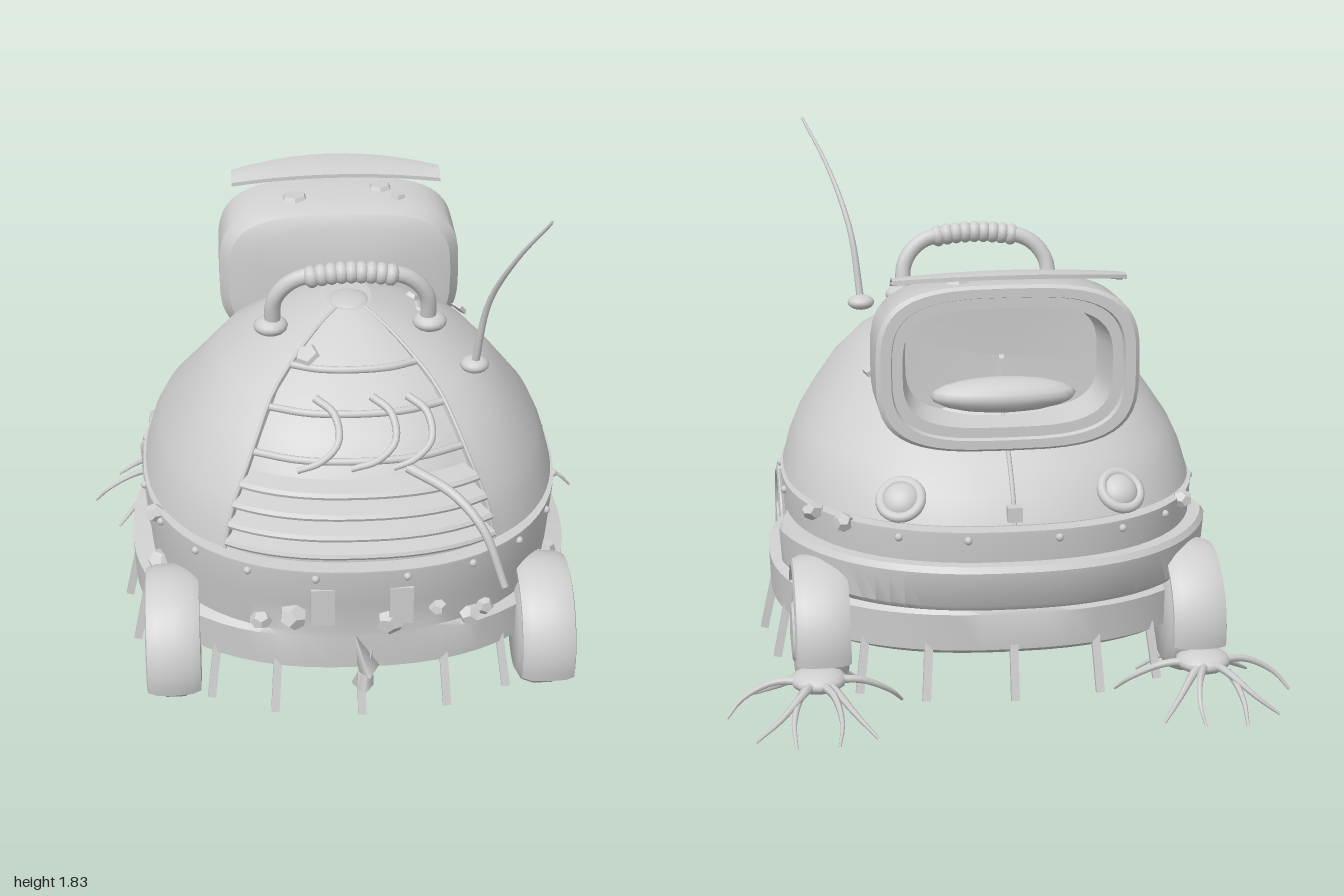
import * as THREE from 'three';
import { toCreasedNormals } from 'three/addons/utils/BufferGeometryUtils.js';

const grey = new THREE.MeshStandardMaterial({ color: 0xcfcfcf, side: THREE.DoubleSide });
grey.name = 'grey';

const V = (x, y, z) => new THREE.Vector3(x, y, z);
const D = Math.PI / 180;

// Cross-sections: [height, half width, front z, back z]
const DOME = [
  [0.66, 0.73, 0.86, -0.74], [0.75, 0.705, 0.85, -0.7], [0.83, 0.67, 0.82, -0.63],
  [0.92, 0.61, 0.78, -0.52], [1.02, 0.54, 0.7, -0.4], [1.12, 0.45, 0.58, -0.31],
  [1.2, 0.32, 0.45, -0.2], [1.27, 0.17, 0.32, -0.08], [1.3, 0.08, 0.25, 0.0],
];
const HULL = [
  [0.2, 0.01, 0.06, 0.04], [0.2, 0.75, 0.8, -0.71], [0.22, 0.785, 0.83, -0.74], [0.35, 0.79, 0.84, -0.75],
  [0.37, 0.72, 0.84, -0.74], [0.5, 0.73, 0.87, -0.76], [0.64, 0.74, 0.9, -0.775],
  [0.648, 0.74, 0.9, -0.775], [0.65, 0.71, 0.84, -0.72], [0.66, 0.71, 0.84, -0.72],
];
const pw = (s, e) => Math.sign(s) * Math.abs(s) ** e;

// Point on a rounded oval section; angle 0 faces the front, +90 degrees the left side
function onRow([y, rx, zf, zb], a, off = 0) {
  const c = (zf + zb) / 2;
  const p = V(rx * pw(Math.sin(a), 0.85), 0, ((zf - zb) / 2) * pw(Math.cos(a), 0.85));
  p.addScaledVector(p.clone().normalize(), off);
  return p.add(V(0, y, c));
}
function onBody(rows, y, a, off) {
  let i = 1;
  while (i < rows.length - 1 && rows[i][0] < y) i++;
  const p = rows[i - 1], q = rows[i];
  const t = THREE.MathUtils.clamp((y - p[0]) / (q[0] - p[0] || 1), 0, 1);
  return onRow(p.map((v, k) => v + (q[k] - v) * t), a, off);
}

// Surface through a grid of points fn(column, row)
function grid(fn, nu, nv) {
  const pos = [], idx = [];
  for (let j = 0; j <= nv; j++) for (let i = 0; i <= nu; i++) {
    pos.push(...fn(i, j).toArray());
    if (i < nu && j < nv) {
      const a = j * (nu + 1) + i, b = a + nu + 1;
      idx.push(a, a + 1, b, a + 1, b + 1, b);
    }
  }
  const g = new THREE.BufferGeometry();
  g.setAttribute('position', new THREE.Float32BufferAttribute(pos, 3));
  g.setIndex(idx);
  return toCreasedNormals(g, 0.6);
}
// Tapered tube along a smooth path
function tube(pts, r0, r1 = r0, n = 16, sides = 8) {
  const curve = new THREE.CatmullRomCurve3(pts);
  const g = new THREE.TubeGeometry(curve, n, 1, sides);
  const p = g.attributes.position, v = V(0, 0, 0);
  for (let i = 0; i < p.count; i++) {
    const t = Math.floor(i / (sides + 1)) / n, c = curve.getPointAt(t);
    v.fromBufferAttribute(p, i).sub(c).multiplyScalar(r0 + (r1 - r0) * t).add(c);
    p.setXYZ(i, v.x, v.y, v.z);
  }
  return g;
}

export function createModel() {
  const model = new THREE.Group();
  model.name = 'shellVehicle';
  const add = (name, geo, pos, parent = model) => {
    const m = new THREE.Mesh(geo, grey);
    m.name = name;
    if (pos) m.position.copy(pos);
    parent.add(m);
    return m;
  };
  const W = 35 * D, N = 64, last = DOME.length - 1;

  // Lower hull, dome, recessed front panel
  add('hull', grid((i, j) => onRow(HULL[j], (i / N) * 2 * Math.PI), N, HULL.length - 1));
  add('dome', grid((i, j) => onRow(DOME[j], W + (i / N) * (2 * Math.PI - 2 * W)), N, last));
  add('frontPanel', grid((i, j) => onRow(DOME[j], -W + (i / 16) * 2 * W, j > 6 ? 0 : -0.03), 16, last));
  for (const s of [-1, 1]) {
    add('panelEdge', grid((i, j) => onRow(DOME[j], s * W, i ? 0 : -0.04), 1, last));
    add('panelTrim', tube(DOME.map((r) => onRow(r, s * W)), 0.006));
  }
  add('domeCap', grid((i, j) => j ? V(0, 1.302, 0.125) : onRow(DOME[last], (i / N) * 2 * Math.PI), N, 1));
  add('topHatch', new THREE.SphereGeometry(1, 20, 10), V(0, 1.295, 0.16)).scale.set(0.07, 0.02, 0.085);
  add('backSeam', tube(DOME.map((r) => onRow(r, Math.PI)), 0.008, 0.008, 24, 6));

  // Louvres and bars on the front panel
  for (const y of [0.69, 0.755, 0.82, 0.885]) {
    const sect = [[0, -0.04], [-0.005, 0.025], [0.005, 0.033], [0.017, 0.03], [0.035, -0.04]];
    add('louvre', grid((i, j) => onBody(DOME, y + sect[j][0], W * 0.97 * (i / 8 - 1), sect[j][1]), 16, 4));
  }
  for (const y of [0.97, 1.085, 1.18]) {
    const pts = [-1, -0.5, 0, 0.5, 1].map((t) => onBody(DOME, y, t * W, -0.015));
    add('panelBar', tube(pts, 0.013));
  }

  // Vines hanging over the panel
  for (const [x, k] of [[-0.1, 1], [0.09, 1.1], [0.21, 0.9]]) {
    add('vine', tube([V(x - 0.04, 1.13, 0.57), V(x + 0.02, 1.1, 0.63), V(x + 0.03, 1.03, 0.7),
      V(x - 0.03, 0.98, 0.74), V(x - 0.11 * k, 0.95, 0.74)], 0.014, 0.011));
  }
  add('longVine', tube([V(0.16, 0.95, 0.74), V(0.3, 0.91, 0.86), V(0.39, 0.82, 0.94), V(0.46, 0.63, 0.99)], 0.018, 0.013));

  // Carrying handle with wrapped grip
  const arc = [V(-0.27, 1.24, 0.24), V(-0.26, 1.36, 0.265), V(-0.19, 1.435, 0.28), V(0, 1.46, 0.29),
    V(0.19, 1.435, 0.28), V(0.26, 1.36, 0.265), V(0.27, 1.24, 0.24)];
  add('handle', tube(arc, 0.028, 0.028, 32, 12));
  for (let i = -4; i <= 4; i++) {
    const x = i * 0.034;
    const wrap = add('gripWrap', new THREE.SphereGeometry(0.039, 14, 10), V(x, 1.461 - 0.7 * x * x, 0.29));
    wrap.scale.x = 0.75;
    wrap.rotation.z = -1.4 * x;
  }
  const knob = (name, p, r, h) => add(name, new THREE.SphereGeometry(1, 16, 10), p).scale.set(r, h, r);
  for (const s of [-1, 1]) knob('handleFoot', V(s * 0.275, 1.245, 0.24), 0.06, 0.033);

  // Antenna
  knob('antennaBase', V(0.41, 1.175, 0.44), 0.05, 0.028);
  add('antenna', tube([V(0.41, 1.18, 0.45), V(0.44, 1.43, 0.51), V(0.51, 1.65, 0.64), V(0.6, 1.83, 0.76)], 0.014, 0.005));

  // Rear window pod: outer shell, rim and recess in one loft [z, half width, half height]
  const POD = [[-0.29, 0.01, 0.01], [-0.295, 0.33, 0.2], [-0.32, 0.41, 0.25], [-0.37, 0.445, 0.275], [-0.59, 0.445, 0.285],
    [-0.605, 0.43, 0.275], [-0.605, 0.395, 0.245], [-0.585, 0.39, 0.24], [-0.585, 0.355, 0.205], [-0.42, 0.33, 0.19], [-0.41, 0.01, 0.01]];
  add('windowPod', grid((i, j) => {
    const a = (i / 48) * 2 * Math.PI, [z, w, h] = POD[j];
    return V(w * pw(Math.cos(a), 0.6), 1.16 + h * pw(Math.sin(a), 0.6), z);
  }, 48, POD.length - 1));
  add('podCushion', new THREE.SphereGeometry(1, 20, 10), V(0, 1.04, -0.47)).scale.set(0.25, 0.06, 0.09);
  const visor = [[0, 0], [0.5, 0.01], [1, 0], [1, 0.014], [0.5, 0.026], [0, 0.014], [0, 0]];
  add('visor', grid((i, j) => {
    const t = i / 8 - 1, [d, h] = visor[j];
    return V(t * 0.39, 1.465 + 0.02 * d - 0.025 * t * t + h, -0.54 - d * (0.16 - 0.08 * t * t));
  }, 16, 6));

  // Rear lamps, latch and wraparound bumper
  for (const s of [-1, 1]) {
    const lamp = new THREE.Group();
    lamp.name = 'rearLamp';
    lamp.position.set(s * 0.37, 0.735, -0.655);
    lamp.lookAt(s * 0.55, 1.335, -1.255);
    model.add(lamp);
    add('lampRing', new THREE.TorusGeometry(0.068, 0.018, 10, 24), V(0, 0, 0.01), lamp);
    add('lampLens', new THREE.SphereGeometry(0.065, 20, 12), null, lamp).scale.z = 0.7;
  }
  add('latch', new THREE.BoxGeometry(0.05, 0.05, 0.04), V(0, 0.7, -0.74));
  const BUMP = [[0.38, 0], [0.38, 0.045], [0.4, 0.06], [0.52, 0.06], [0.54, 0.045], [0.54, 0]];
  add('rearBumper', grid((i, j) => {
    const [y, off] = BUMP[j], end = Math.min(1, i * 0.5, (40 - i) * 0.5);
    return onBody(HULL, y, (98 + (i / 40) * 164) * D, off * end);
  }, 40, 5));

  // Rivets, leg pegs and door seams around the hull
  for (let k = 0; k < 20; k++) {
    const a = k * 18 * D;
    add('rivet', new THREE.SphereGeometry(0.014, 8, 6), onBody(HULL, 0.62, a + 0.15, 0.003));
    const mid = onBody(HULL, 0.21, a, 0.025).setY(0.145);
    const peg = add('legPeg', new THREE.BoxGeometry(0.028, 0.2, 0.022), mid);
    const out = V(Math.sin(a) * 0.22, -1, Math.cos(a) * 0.22).normalize();
    peg.quaternion.setFromUnitVectors(V(0, -1, 0), out);
  }
  for (const s of [-1, 1]) for (const deg of [88, 92]) {
    add('doorSeam', tube([0.38, 0.5, 0.63].map((y) => onBody(HULL, y, s * deg * D)), 0.007, 0.007, 4, 6));
  }
  for (const x of [-0.135, 0.13]) add('frontPlate', new THREE.BoxGeometry(0.08, 0.14, 0.03), V(x, 0.5, 0.87));

  // Shards on the front and under the sides
  for (const [x, y, z, r] of [[0, 0.29, 0.85, 0.3], [0.02, 0.22, 0.84, -0.2], [0.66, 0.17, 0.23, 0], [-0.66, 0.17, 0.23, 0],
    [0.66, 0.17, -0.12, 0], [-0.66, 0.17, -0.12, 0]]) {
    add('shard', new THREE.ConeGeometry(0.045, 0.16, 3), V(x, y, z)).rotation.z = r;
  }

  // Wheels and mudguards
  const tyre = [[0, -0.09], [0.15, -0.09], [0.185, -0.07], [0.2, -0.03], [0.2, 0.03], [0.188, 0.065], [0.165, 0.085],
    [0.13, 0.092], [0.105, 0.088], [0.095, 0.098], [0, 0.104]].map(([r, h]) => new THREE.Vector2(r, h));
  const guard = [[0.225, -0.09], [0.24, -0.09], [0.255, -0.06], [0.26, 0], [0.257, 0.06], [0.245, 0.09], [0.225, 0.095], [0.225, -0.09]];
  for (const s of [-1, 1]) for (const z of [0.64, -0.51]) {
    const wheel = add('wheel', toCreasedNormals(new THREE.LatheGeometry(tyre, 36), 0.6), V(s * 0.64, 0.235, z));
    wheel.rotation.z = -s * Math.PI / 2;
    const from = z > 0 ? -15 : 15, to = z > 0 ? 165 : 190;
    add('mudguard', grid((i, j) => {
      const a = (from + (i / 24) * (to - from)) * D, [r, w] = guard[j];
      return V(s * (0.64 + w), 0.24 + r * Math.sin(a), z + r * Math.cos(a));
    }, 24, 7));
  }

  // Root clusters behind the rear wheels
  for (const s of [-1, 1]) {
    knob('rootBase', V(s * 0.66, 0.135, -0.71), 0.095, 0.04);
    const tips = [[0.87, -0.5], [0.97, -0.71], [0.88, -0.92], [0.75, -1.0], [0.61, -0.99], [0.48, -0.94], [0.37, -0.62], [0.48, -0.45]];
    tips.forEach(([x, z], k) => {
      const at = (t, y, w) => V(s * (0.66 + (x - 0.66) * t + w), y, -0.74 + (z + 0.74) * t + w);
      const w = k % 2 ? 0.025 : -0.025;
      add('root', tube([at(0.1, 0.14, 0), at(0.4, 0.13, w), at(0.75, 0.07, w), at(1, 0.01, 0)], 0.017, 0.005, 12, 6));
    });
  }

  // Pebbles on the hull and mudguards: [angle, height, size]
  [[-24, 0.41, 0.04], [-15, 0.45, 0.05], [5, 0.42, 0.05], [17, 0.46, 0.035], [27, 0.39, 0.04], [32, 0.4, 0.035],
    [60, 0.42, 0.05], [-66, 0.42, 0.05], [70, 0.38, 0.04], [-70, 0.38, 0.03], [122, 0.64, 0.04], [135, 0.64, 0.035],
    [-125, 0.64, 0.035], [-66, 0.64, 0.035]].forEach(([a, y, r], k) => {
    const p = add('pebble', new THREE.DodecahedronGeometry(r), onBody(HULL, y, a * D, 0.01));
    p.rotation.set(k, k * 2, 0);
    p.scale.y = 0.8;
  });

  // Loose flakes on the dome and pod: [x, y, z, size]
  [[-0.2, 1.175, -0.2, 0.065], [0.16, 1.2, -0.15, 0.06], [0.43, 1.08, -0.2, 0.035], [0.28, 1.215, 0.1, 0.06],
    [-0.16, 1.22, 0.42, 0.045], [0.16, 1.445, -0.5, 0.045], [0.22, 1.44, -0.42, 0.03], [-0.16, 1.44, -0.43, 0.05],
    [0.24, 1.24, 0.02, 0.03]].forEach(([x, y, z, r], k) => {
    const f = add('flake', toCreasedNormals(new THREE.CylinderGeometry(r * 0.8, r, 0.015, 5 + (k % 2)), 0.3), V(x, y, z));
    const up = y < 1.3 ? V(x * 2, 1, (z - 0.12) * 1.8).normalize() : V(0, 1, 0);
    f.quaternion.setFromUnitVectors(V(0, 1, 0), up);
  });
  return model;
}
